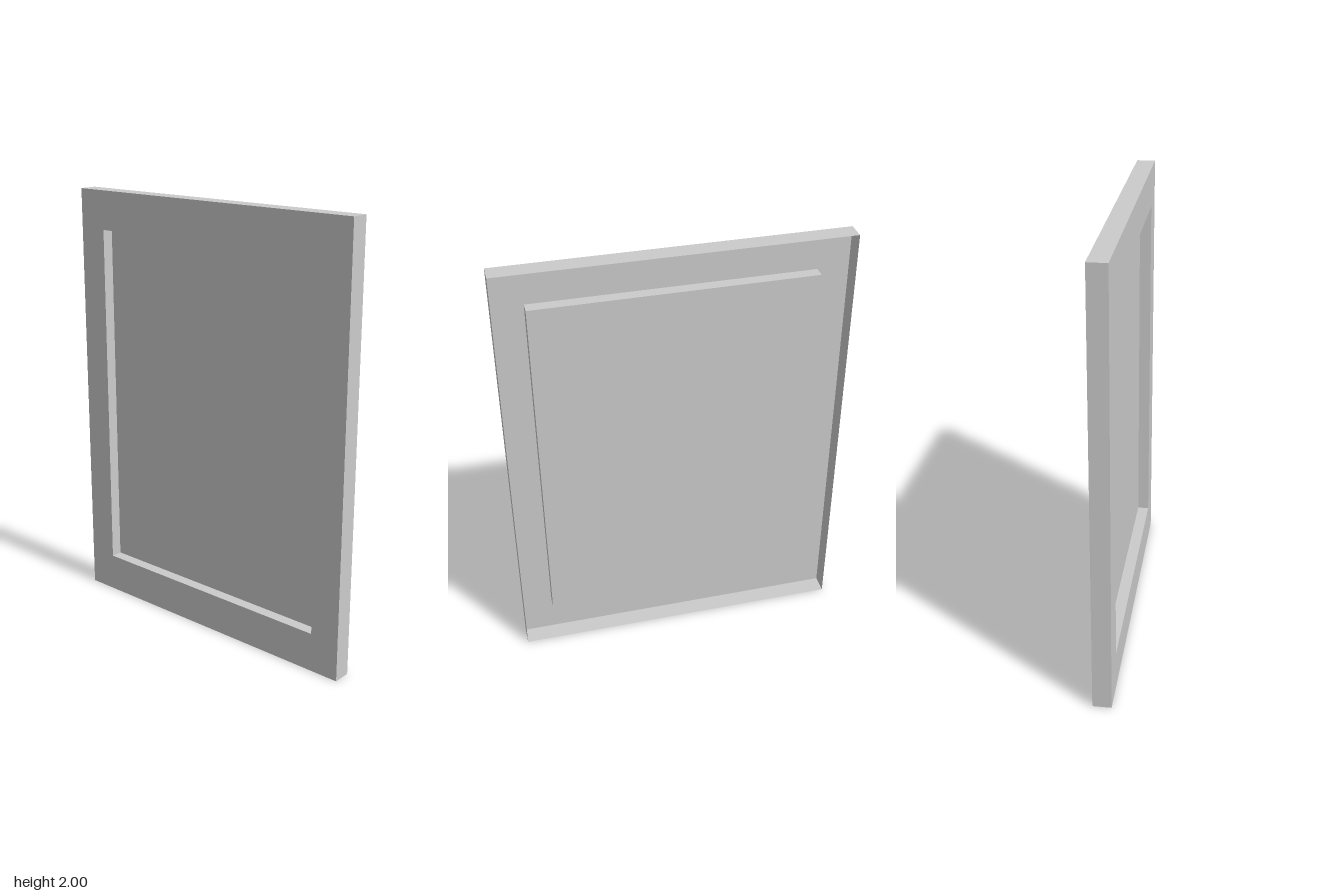
import * as THREE from 'three';

const material = new THREE.MeshStandardMaterial({
  color: 0xcccccc, flatShading: true, side: THREE.DoubleSide,
});

const HEIGHT = 2, MID = HEIGHT / 2;
const BACK = -0.042, FRONT = 0.042, RAISED = 0.011;
const outer = { z: 0.76, y: 1 };
const inner = { z: 0.62, y: 0.82 };

// Corners of a rectangle lying at depth x, counter-clockwise seen from +x
function corners(size, x) {
  return [[1, -1], [-1, -1], [-1, 1], [1, 1]].map(
    ([sz, sy]) => [x, MID + sy * size.y, sz * size.z]);
}

// Four quads joining two rectangles; the first is the farther from the centre
function band(name, sizeA, xA, sizeB, xB) {
  const a = corners(sizeA, xA), b = corners(sizeB, xB);
  const points = [];
  for (let i = 0; i < 4; i++) {
    const j = (i + 1) % 4;
    points.push(...a[i], ...a[j], ...b[j], ...a[i], ...b[j], ...b[i]);
  }
  const geometry = new THREE.BufferGeometry();
  geometry.setAttribute('position', new THREE.Float32BufferAttribute(points, 3));
  geometry.computeVertexNormals();
  const mesh = new THREE.Mesh(geometry, material);
  mesh.name = name;
  return mesh;
}

export function createModel() {
  const model = new THREE.Group();
  model.name = 'pressedPanel';

  // Thin rim round the edge, open towards +x
  model.add(band('rim', outer, BACK, outer, FRONT));

  // Flat border at the back, then the sides of the pressed centre
  model.add(band('backBorder', outer, BACK, inner, BACK));
  model.add(band('raisedSides', inner, BACK, inner, RAISED));

  // Centre face, raised on +x and hollow on -x
  const face = new THREE.Mesh(
    new THREE.PlaneGeometry(2 * inner.z, 2 * inner.y).rotateY(Math.PI / 2), material);
  face.name = 'raisedFace';
  face.position.set(RAISED, MID, 0);
  model.add(face);

  return model;
}
